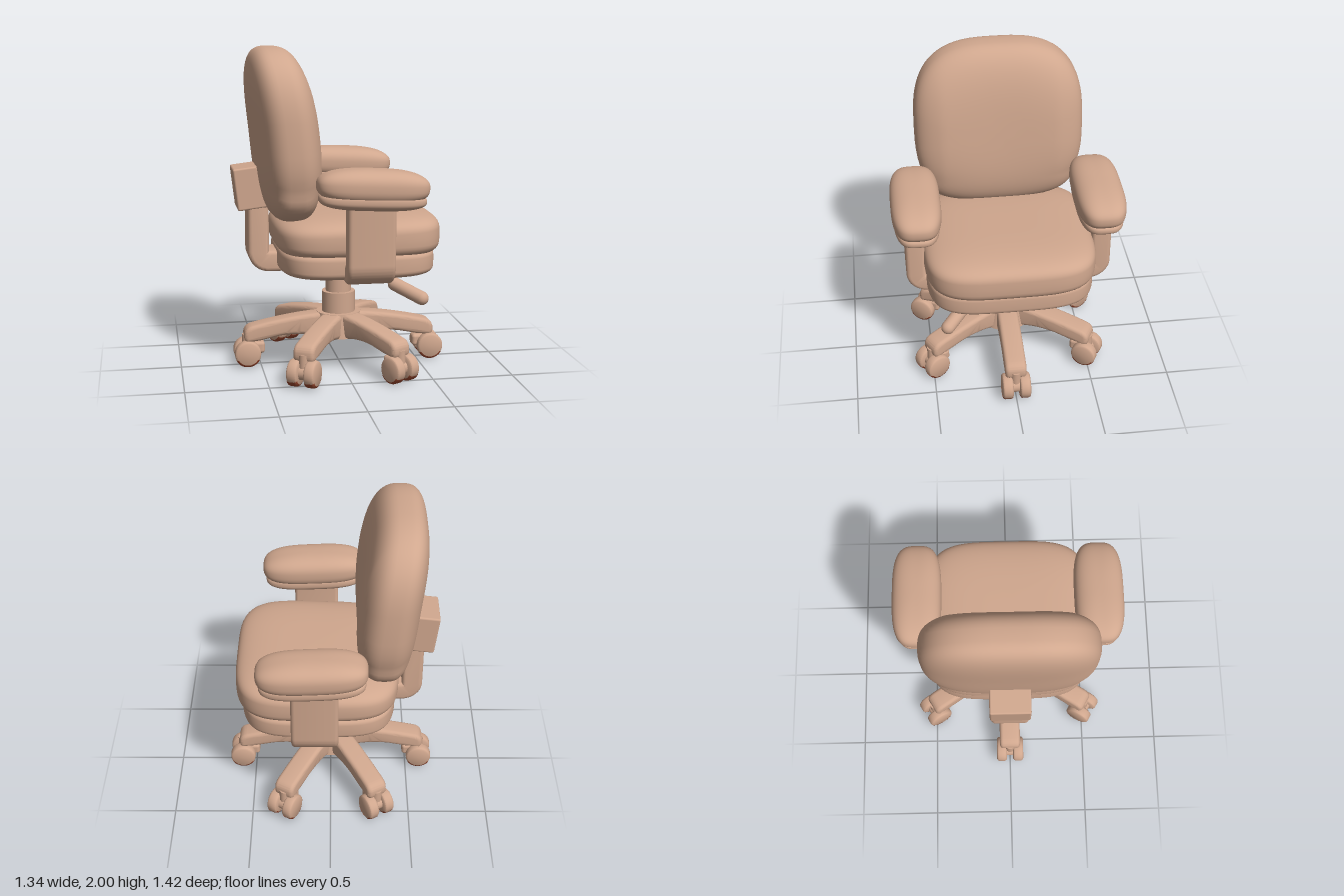
import * as THREE from 'three';
import { mergeVertices, toCreasedNormals } from 'three/addons/utils/BufferGeometryUtils.js';
import { RoundedBoxGeometry } from 'three/addons/geometries/RoundedBoxGeometry.js';

const clay = new THREE.MeshStandardMaterial({ color: 0xd0a78e });
clay.name = 'clay';
const rust = new THREE.MeshStandardMaterial({ color: 0xa04a30, side: THREE.DoubleSide });
rust.name = 'rust tread';

const spow = (v, e) => Math.sign(v) * Math.pow(Math.abs(v), e);

function add(parent, name, geometry, x = 0, y = 0, z = 0, material = clay) {
  const mesh = new THREE.Mesh(geometry, material);
  mesh.name = name;
  mesh.position.set(x, y, z);
  parent.add(mesh);
  return mesh;
}

// Rounded pad: half sizes, outline and edge squareness, optional reshaping rule
function pad(hx, hy, hz, outline, edge, rule) {
  const rows = 36, cols = 72;
  let geo = new THREE.SphereGeometry(1, cols, rows);
  const pos = geo.attributes.position;
  const p = new THREE.Vector3();
  for (let i = 0; i < pos.count; i++) {
    const row = Math.floor(i / (cols + 1)), col = i % (cols + 1);
    const lat = Math.PI * (0.5 - row / rows), lon = (col % cols) / cols * Math.PI * 2;
    const pole = row === 0 || row === rows;
    const r = pole ? 0 : Math.pow(Math.cos(lat), 2 / edge);
    p.set(-hx * r * spow(Math.cos(lon), 2 / outline), hy * spow(Math.sin(lat), 2 / edge),
      hz * r * spow(Math.sin(lon), 2 / outline));
    if (rule) rule(p);
    pos.setXYZ(i, p.x, p.y, p.z);
  }
  geo.deleteAttribute('uv');
  geo.deleteAttribute('normal');
  geo = mergeVertices(geo, 1e-5);
  geo.computeVertexNormals();
  return geo;
}

// Bevelled extrusion centred on its depth
function slab(shape, width, bevel) {
  const geo = new THREE.ExtrudeGeometry(shape, {
    depth: width - 2 * bevel, bevelEnabled: true, bevelSize: bevel, bevelOffset: -bevel,
    bevelThickness: bevel, bevelSegments: 4, curveSegments: 14,
  });
  geo.translate(0, 0, -width / 2 + bevel);
  return toCreasedNormals(geo, 0.6);
}

// L-shaped bracket: runs outward along x, then turns up
function elbow(inner, outer, y0, y1, thick, width, bend) {
  const s = new THREE.Shape();
  s.moveTo(inner, y0);
  s.lineTo(outer - bend, y0);
  s.absarc(outer - bend, y0 + bend, bend, -Math.PI / 2, 0, false);
  s.lineTo(outer, y1);
  s.lineTo(outer - thick, y1);
  s.lineTo(outer - thick, y0 + bend);
  s.quadraticCurveTo(outer - thick, y0 + thick, outer - bend - 0.02, y0 + thick);
  s.lineTo(inner, y0 + thick);
  return slab(s, width, 0.025);
}

function rod(parent, name, a, b, radius) {
  const dir = b.clone().sub(a);
  const mesh = add(parent, name, new THREE.CapsuleGeometry(radius, dir.length() - 2 * radius, 8, 20));
  mesh.position.copy(a).add(b).multiplyScalar(0.5);
  mesh.quaternion.setFromUnitVectors(new THREE.Vector3(0, 1, 0), dir.normalize());
}

function makeCaster() {
  const caster = new THREE.Group();
  caster.name = 'caster';
  add(caster, 'casterStem', new THREE.CylinderGeometry(0.032, 0.032, 0.12, 20), 0, 0.14, 0);
  add(caster, 'casterAxle', new THREE.CylinderGeometry(0.045, 0.045, 0.08, 20).rotateX(Math.PI / 2), 0, 0.088, 0);
  add(caster, 'casterFork', new RoundedBoxGeometry(0.1, 0.075, 0.09, 3, 0.02), -0.06, 0.115, 0);
  const R = 0.082, w = 0.034;
  const v = (x, y) => new THREE.Vector2(x, y);
  const profile = [v(0, -w), v(R - 0.015, -w), v(R - 0.004, -w + 0.006), v(R, -w + 0.016),
    v(R, w - 0.016), v(R - 0.004, w - 0.006), v(R - 0.015, w), v(0, w)];
  const wheel = toCreasedNormals(new THREE.LatheGeometry(profile, 32).rotateX(Math.PI / 2), 0.7);
  // The tread is a thin skin over the lower rim
  const skin = profile.slice(1, -1).map((q) => v(q.x + 0.0015, q.y * 1.01));
  const tread = new THREE.LatheGeometry(skin, 20, -1.05, 2.1).rotateX(Math.PI / 2);
  tread.computeBoundingBox();
  if (tread.boundingBox.max.y > 0.06) tread.rotateZ(Math.PI);
  for (const side of [-1, 1]) {
    add(caster, 'casterWheel', wheel, 0, 0.085, side * 0.055);
    add(caster, 'casterTread', tread, 0, 0.085, side * 0.055, rust);
  }
  return caster;
}

export function createModel() {
  const chair = new THREE.Group();
  chair.name = 'officeChair';

  // Six-legged base with twin-wheel casters
  const leg = new THREE.Shape();
  leg.moveTo(0, 0.18);
  leg.lineTo(0.16, 0.18);
  leg.quadraticCurveTo(0.26, 0.205, 0.38, 0.19);
  leg.lineTo(0.5, 0.165);
  leg.lineTo(0.585, 0.155);
  leg.quadraticCurveTo(0.61, 0.16, 0.605, 0.21);
  leg.quadraticCurveTo(0.6, 0.25, 0.55, 0.262);
  leg.quadraticCurveTo(0.3, 0.32, 0.1, 0.33);
  leg.lineTo(0, 0.33);
  const legGeo = slab(leg, 0.135, 0.025);
  for (let i = 0; i < 6; i++) {
    const spoke = new THREE.Group();
    spoke.name = 'baseSpoke';
    spoke.rotation.y = i * Math.PI / 3;
    add(spoke, 'baseLeg', legGeo);
    const caster = makeCaster();
    caster.position.x = 0.585;
    spoke.add(caster);
    chair.add(spoke);
  }
  add(chair, 'baseHub', new THREE.CylinderGeometry(0.14, 0.165, 0.15, 36), 0, 0.255, 0);

  // Lift column
  add(chair, 'columnSleeve', new THREE.CylinderGeometry(0.105, 0.105, 0.14, 36), 0, 0.39, 0);
  add(chair, 'columnPiston', new THREE.CylinderGeometry(0.08, 0.08, 0.16, 36), 0, 0.53, 0);
  add(chair, 'mountPlate', new THREE.CylinderGeometry(0.14, 0.12, 0.04, 36), 0, 0.605, 0);

  // Height lever
  const path = new THREE.CatmullRomCurve3([new THREE.Vector3(0.05, 0.605, 0.05),
    new THREE.Vector3(0.18, 0.6, 0.16), new THREE.Vector3(0.34, 0.54, 0.3)]);
  add(chair, 'leverArm', new THREE.TubeGeometry(path, 16, 0.014, 10));
  rod(chair, 'leverGrip', new THREE.Vector3(0.275, 0.565, 0.25), new THREE.Vector3(0.475, 0.475, 0.435), 0.042);

  // Seat
  add(chair, 'seatBase', pad(0.48, 0.095, 0.52, 4, 5), 0.075, 0.715, 0);
  add(chair, 'seatCushion', pad(0.508, 0.14, 0.53, 4, 3.6, (p) => {
    if (p.y > 0) p.y += 0.012 * p.x / 0.5;
  }), 0.083, 0.865, 0);

  // Backrest: upright pad, leaning back, hollowed across the front
  const back = pad(0.528, 0.2, 0.53, 2.9, 2.9, (p) => {
    const up = p.x / 0.528;
    p.z *= 1 + 0.5 * Math.max(0, -up - 0.6);
    if (p.y < 0) {
      p.y += 0.035 * Math.max(0, 1 - (p.z / 0.36) ** 2) * (1 - up * up);
    }
    p.y -= 0.03 * (1 - up * up) - 0.02;
    p.y += 0.055 * up;
  });
  back.rotateZ(Math.PI / 2);
  add(chair, 'backrest', back, -0.355, 1.473, 0);

  // Back support and its bracket
  add(chair, 'backSupport', elbow(0.1, 0.58, 0.62, 1.12, 0.13, 0.24, 0.13).rotateY(Math.PI));
  const bracket = add(chair, 'backBracket', new RoundedBoxGeometry(0.2, 0.26, 0.25, 2, 0.012), -0.555, 1.145, 0);
  bracket.rotation.z = 0.12;

  // Arms
  const armGeo = elbow(0.3, 0.64, 0.62, 1.14, 0.12, 0.285, 0.13).rotateY(-Math.PI / 2);
  const armTop = pad(0.332, 0.105, 0.152, 3.2, 2.6);
  const armUnder = pad(0.318, 0.06, 0.14, 3.2, 2.6);
  for (const side of [1, -1]) {
    const support = add(chair, 'armSupport', armGeo, 0.095, 0, 0);
    if (side < 0) support.rotation.y = Math.PI;
    const rest = new THREE.Group();
    rest.name = 'armrest';
    rest.position.set(0.11, 1.2, side * 0.56);
    rest.rotation.z = -0.045;
    add(rest, 'armrestPad', armTop, 0, 0.008, 0);
    add(rest, 'armrestUnderside', armUnder, 0, -0.07, 0);
    chair.add(rest);
  }
  return chair;
}
